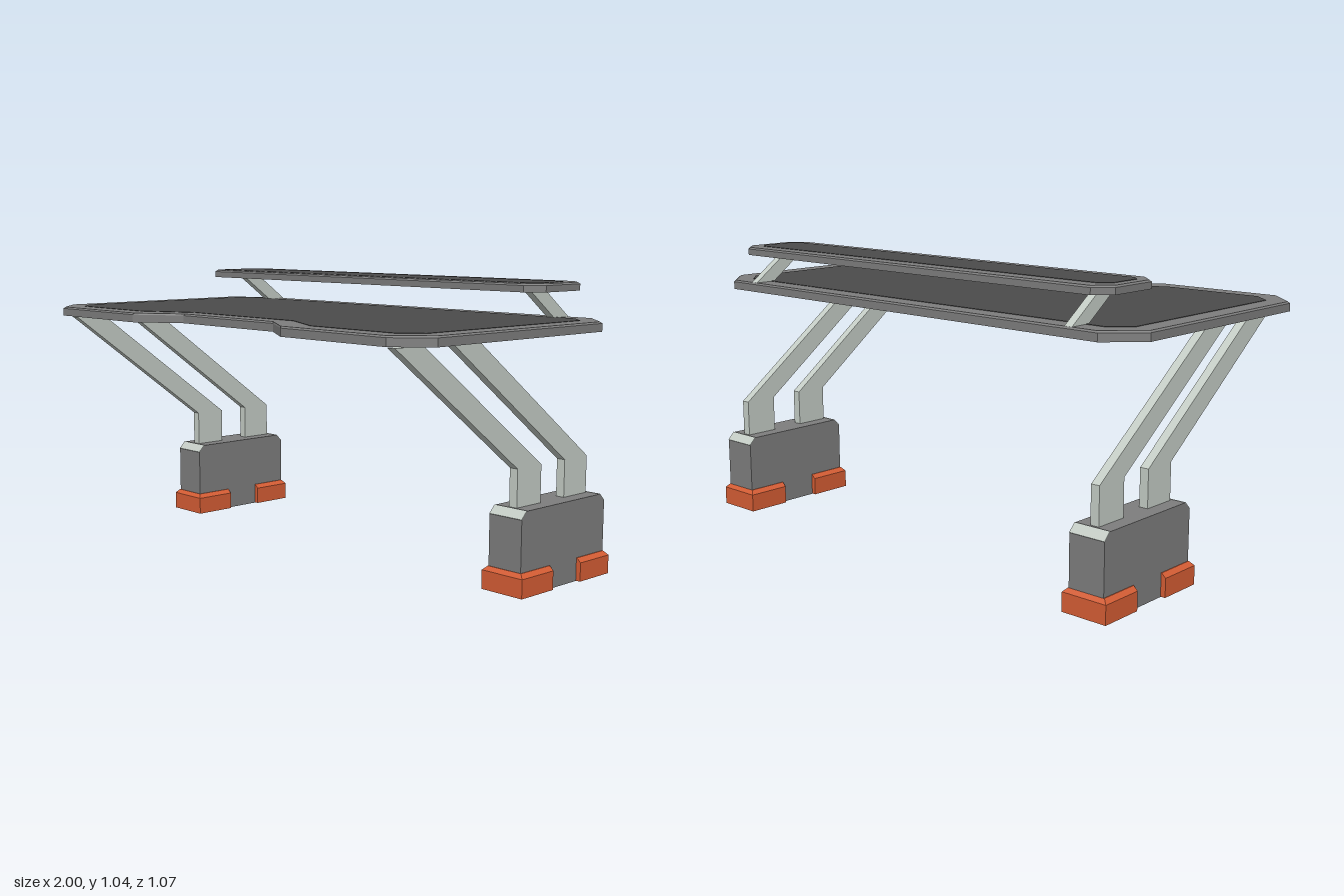
import * as THREE from 'three';

const mat = (name, color) => {
  const m = new THREE.MeshStandardMaterial({ color });
  m.name = name;
  return m;
};

// Solid through horizontal rings: [{ y, ring: [[x, z], ...] }, ...] from bottom to top
function loft(levels) {
  const flip = THREE.ShapeUtils.area(levels[0].ring.map(([x, z]) => new THREE.Vector2(x, z))) < 0;
  const rings = levels.map(({ y, ring }) =>
    (flip ? [...ring].reverse() : ring).map(([x, z]) => new THREE.Vector3(x, y, z)));
  const pos = [];
  const tri = (...vs) => vs.forEach((v) => pos.push(v.x, v.y, v.z));
  const n = rings[0].length;
  for (let k = 0; k < rings.length - 1; k++) {
    for (let i = 0; i < n; i++) {
      const j = (i + 1) % n, lo = rings[k], hi = rings[k + 1];
      tri(lo[i], hi[j], lo[j]);
      tri(lo[i], hi[i], hi[j]);
    }
  }
  const cap = (ring, up) => {
    const faces = THREE.ShapeUtils.triangulateShape(ring.map((v) => new THREE.Vector2(v.x, v.z)), []);
    for (const [a, b, c] of faces) up ? tri(ring[a], ring[c], ring[b]) : tri(ring[a], ring[b], ring[c]);
  };
  cap(rings[0], false);
  cap(rings[rings.length - 1], true);
  const g = new THREE.BufferGeometry();
  g.setAttribute('position', new THREE.Float32BufferAttribute(pos, 3));
  g.computeVertexNormals();
  return g;
}

// Side profile of [z, y] points, extruded along x and centred on x = 0
function sideProfile(points, width) {
  const shape = new THREE.Shape(points.map(([z, y]) => new THREE.Vector2(-z, y)));
  const g = new THREE.ExtrudeGeometry(shape, { depth: width, bevelEnabled: false });
  return g.rotateY(Math.PI / 2).translate(-width / 2, 0, 0);
}

// Complete a right-hand half outline by mirroring it in x
const mirrorX = (half) => [...half, ...[...half].reverse().map(([x, z]) => [-x, z])];

// Shrink an outline by a small step toward a centre line
const shrink = (ring, step, cz) => ring.map(([x, z]) => [x - Math.sign(x) * step, z - Math.sign(z - cz) * step]);

export function createModel() {
  const grey = mat('grey', 0x7d7d7d);
  const dark = mat('dark surface', 0x4b4b4b);
  const pale = mat('pale metal', 0xc4ccc5);
  const orange = mat('orange', 0xd55d34);

  const model = new THREE.Group();
  model.name = 'desk';
  const add = (parent, name, geometry, material, x = 0) => {
    const mesh = new THREE.Mesh(geometry, material);
    mesh.name = name;
    mesh.position.x = x;
    parent.add(mesh);
  };

  // Board with a bevelled upper edge and an inlaid dark surface
  const board = (name, outline, inlay, y0, y1, y2, cz) => {
    add(model, name, loft([
      { y: y0, ring: outline },
      { y: y1, ring: outline },
      { y: y2, ring: shrink(outline, 0.006, cz) },
    ]), grey);
    add(model, name + 'Surface', loft([
      { y: y2 - 0.002, ring: inlay },
      { y: y2 + 0.0015, ring: inlay },
    ]), dark);
  };

  // Desktop with a recess in the front edge
  board('desktop',
    mirrorX([[0.25, 0.425], [0.415, 0.534], [0.89, 0.534], [1, 0.428], [1, -0.393], [0.885, -0.505]]),
    mirrorX([[0.275, 0.355], [0.475, 0.458], [0.855, 0.458], [0.925, 0.393], [0.925, -0.37], [0.86, -0.43]]),
    0.873, 0.901, 0.907, 0);

  // Raised shelf along the back
  board('shelf',
    mirrorX([[0.83, -0.18], [0.885, -0.232], [0.885, -0.42], [0.83, -0.472]]),
    mirrorX([[0.815, -0.225], [0.845, -0.255], [0.845, -0.38], [0.815, -0.41]]),
    1.006, 1.029, 1.035, -0.326);

  for (const [side, s] of [['left', 1], ['right', -1]]) {
    // Slanted shelf bracket
    add(model, side + 'ShelfBracket',
      sideProfile([[-0.277, 1.008], [-0.36, 1.008], [-0.503, 0.903], [-0.42, 0.903]], 0.03), pale, s * 0.767);

    const stand = new THREE.Group();
    stand.name = side + 'Stand';
    stand.position.x = s * 0.871;
    model.add(stand);

    // Pedestal with chamfered ends and pale chamfer plates
    const [f, b, top, c] = [-0.062, -0.522, 0.291, 0.027];
    add(stand, 'pedestal', sideProfile(
      [[f, 0], [f, top - c], [f - c, top], [b + c, top], [b, top - c], [b, 0]], 0.138), grey);
    for (const [name, z, d] of [['front', f, 1], ['back', b, -1]]) {
      const e = 0.0015;
      add(stand, name + 'ChamferPlate', sideProfile([
        [z, top - c], [z - d * c, top], [z - d * c + d * e, top + e], [z + d * e, top - c + e],
      ], 0.138), pale);
    }

    // Two bent legs, the same shape shifted back
    for (const [name, shift] of [['frontLeg', 0], ['backLeg', -0.257]]) {
      add(stand, name, sideProfile([
        [-0.1, 0.28], [-0.1, 0.424], [0.493, 0.866], [0.367, 0.866], [-0.227, 0.424], [-0.227, 0.28],
      ].map(([z, y]) => [z + shift, y]), 0.033), pale);
    }

    // Feet wrapping the pedestal ends, sloped in to meet it at the top
    for (const [name, outer, inner, d] of [['frontFoot', -0.048, -0.216, 1], ['backFoot', -0.534, -0.369, -1]]) {
      const ring = (w, z) => [[-w, z], [w, z], [w, inner], [-w, inner]];
      add(stand, name, loft([
        { y: 0.001, ring: ring(0.087, outer) },
        { y: 0.068, ring: ring(0.087, outer) },
        { y: 0.083, ring: ring(0.0715, outer - d * 0.0125) },
      ]), orange);
    }
  }
  return model;
}
